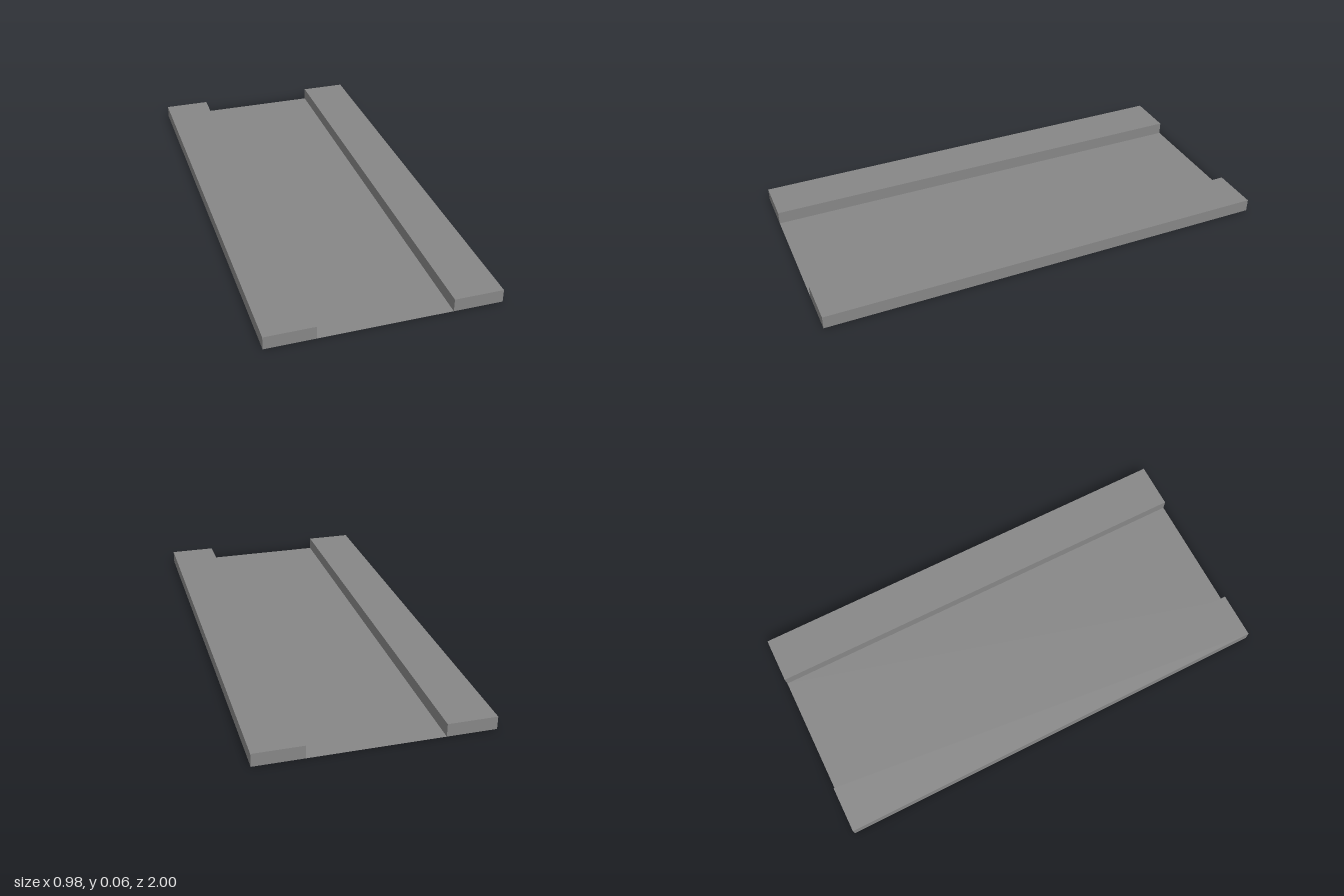
import * as THREE from 'three';

const LENGTH = 2, INNER = 0.279, OUTER = 0.488, HEIGHT = 0.056;

export function createModel() {
  const group = new THREE.Group();
  const material = new THREE.MeshStandardMaterial({ color: 0x868686, flatShading: true });

  // Thin road surface lying between the kerbs, seen from both sides
  const roadMaterial = material.clone();
  roadMaterial.side = THREE.DoubleSide;
  const road = new THREE.Mesh(new THREE.PlaneGeometry(INNER * 2, LENGTH), roadMaterial);
  road.name = 'roadSurface';
  road.rotation.x = -Math.PI / 2;
  group.add(road);

  // Raised pavement along each side
  const pavementGeometry = new THREE.BoxGeometry(OUTER - INNER, HEIGHT, LENGTH);
  for (const [name, side] of [['leftPavement', 1], ['rightPavement', -1]]) {
    const pavement = new THREE.Mesh(pavementGeometry, material);
    pavement.name = name;
    pavement.position.set(side * (INNER + OUTER) / 2, HEIGHT / 2, 0);
    group.add(pavement);
  }
  return group;
}
